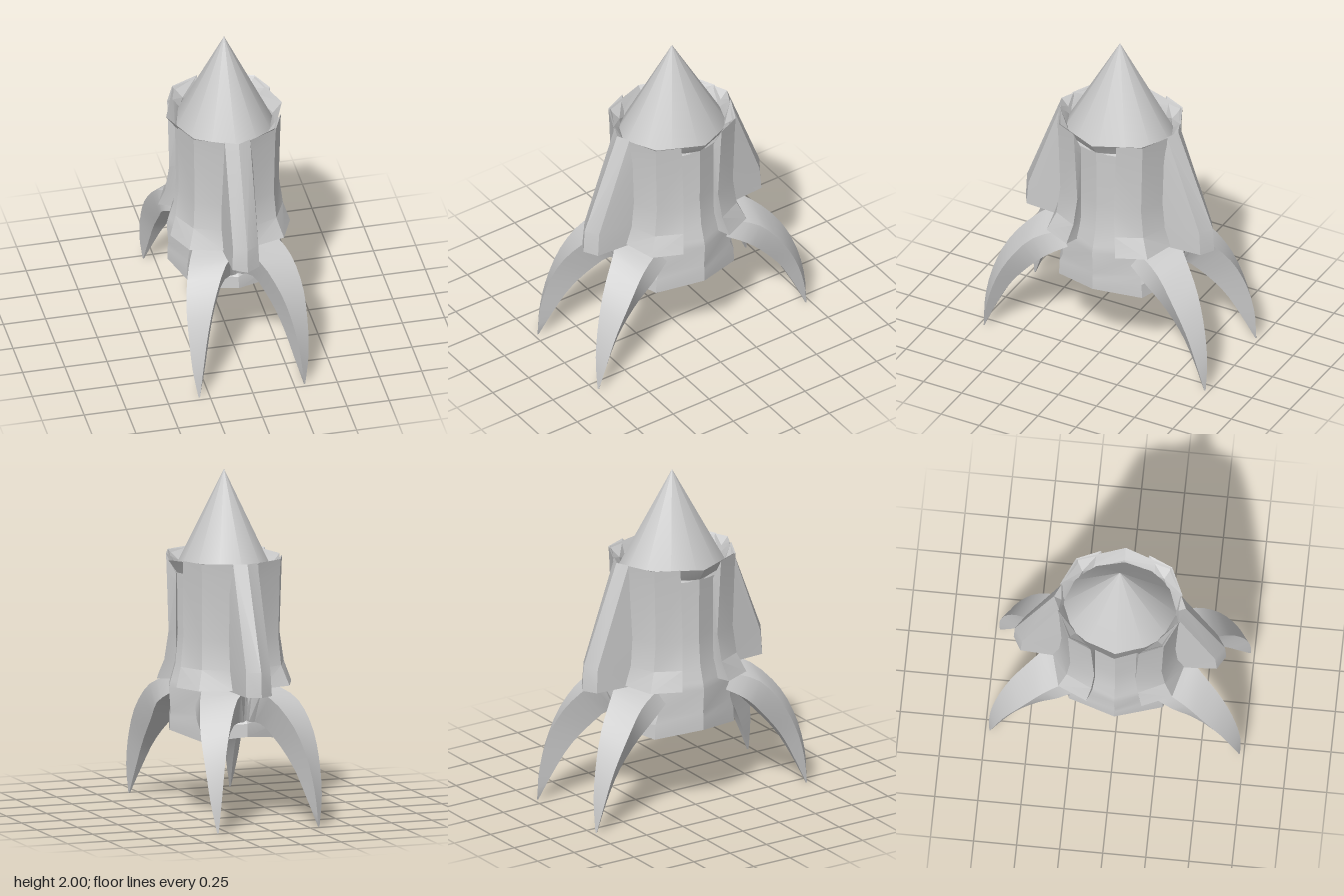
import * as THREE from 'three';
import { toCreasedNormals } from 'three/addons/utils/BufferGeometryUtils.js';

const material = new THREE.MeshStandardMaterial({ color: 0xcccccc });

// Skin a stack of equal-length point rings and cap both ends
function loft(rings, crease, flip = false) {
  const pos = [];
  const tri = (a, b, c) => pos.push(...a, ...(flip ? c : b), ...(flip ? b : c));
  const n = rings[0].length;
  for (let i = 0; i < rings.length - 1; i++) {
    for (let j = 0; j < n; j++) {
      const k = (j + 1) % n;
      const a = rings[i][j], b = rings[i][k], c = rings[i + 1][k], d = rings[i + 1][j];
      tri(a, b, c);
      tri(a, c, d);
    }
  }
  const centre = (r) => [0, 1, 2].map((q) => r.reduce((s, p) => s + p[q], 0) / n);
  const first = rings[0], last = rings[rings.length - 1];
  const c0 = centre(first), c1 = centre(last);
  for (let j = 0; j < n; j++) {
    const k = (j + 1) % n;
    tri(c0, first[k], first[j]);
    tri(c1, last[j], last[k]);
  }
  const g = new THREE.BufferGeometry();
  g.setAttribute('position', new THREE.Float32BufferAttribute(pos, 3));
  return toCreasedNormals(g, crease);
}

// Eight-sided ring; dip shifts the diagonal corners in height
function octagon([y, rx, rz, dip = 0]) {
  return Array.from({ length: 8 }, (_, i) => {
    const a = (i * Math.PI) / 4;
    return [rx * Math.sin(a), y + dip * Math.abs(Math.sin(2 * a)), rz * Math.cos(a)];
  });
}

export function createModel() {
  const group = new THREE.Group();
  const add = (name, geometry) => {
    const mesh = new THREE.Mesh(geometry, material);
    mesh.name = name;
    group.add(mesh);
    return mesh;
  };

  // Body: deep cup underneath, stepped lower rim, waist, funnel-shaped upper rim
  add('body', loft([
    [0.75, 0.24, 0.27], [0.55, 0.26, 0.29, -0.02], [0.53, 0.3, 0.34, -0.03],
    [0.49, 0.335, 0.385, -0.035], [0.565, 0.335, 0.38, -0.02], [0.6, 0.33, 0.35],
    [0.74, 0.34, 0.35], [0.78, 0.33, 0.35], [0.88, 0.3, 0.335],
    [1.05, 0.285, 0.325], [1.41, 0.29, 0.335], [1.485, 0.343, 0.383, 0.015],
    [1.42, 0.29, 0.335], [1.38, 0.28, 0.32],
  ].map(octagon), 0.3));

  // Pointed nose
  const nose = add('noseCone', toCreasedNormals(new THREE.ConeGeometry(1, 0.6, 12), 0.3));
  nose.scale.set(0.285, 1, 0.335);
  nose.position.y = 1.7;

  // Corner armour: outer height, x,z of the three outer edges, inner height
  const panelLevels = [
    [0.765, 0.09, 0.38, 0.28, 0.33, 0.355, 0.16, 0.765],
    [0.88, 0.09, 0.345, 0.245, 0.285, 0.318, 0.135, 0.88],
    [1.05, 0.08, 0.335, 0.235, 0.265, 0.297, 0.12, 1.05],
    [1.4, 0.08, 0.345, 0.24, 0.275, 0.303, 0.135, 1.34],
    [1.5, 0.08, 0.355, 0.244, 0.279, 0.305, 0.14, 1.38],
  ];
  // Claw edges: upper inner, upper outer, lower outer, lower inner
  const clawEdges = [
    [[-0.02, 0.765, 0.37], [0.09, 0.735, 0.47], [0.19, 0.59, 0.605], [0.25, 0.41, 0.685], [0.287, 0.2, 0.727], [0.308, 0, 0.728]],
    [[0.22, 0.765, 0.22], [0.3, 0.7, 0.4], [0.345, 0.55, 0.53], [0.352, 0.36, 0.63], [0.343, 0.17, 0.69], [0.316, 0, 0.724]],
    [[0.24, 0.69, 0.17], [0.29, 0.6, 0.32], [0.285, 0.48, 0.44], [0.29, 0.33, 0.56], [0.3, 0.16, 0.65], [0.314, 0, 0.721]],
    [[-0.02, 0.575, 0.36], [0.075, 0.565, 0.375], [0.155, 0.46, 0.465], [0.215, 0.325, 0.57], [0.265, 0.15, 0.66], [0.308, 0, 0.721]],
  ].map((pts) => new THREE.CatmullRomCurve3(pts.map((p) => new THREE.Vector3(...p))));

  for (const sx of [1, -1]) {
    for (const sz of [1, -1]) {
      const flip = sx * sz < 0;
      const where = (sz > 0 ? 'front' : 'back') + (sx > 0 ? 'Left' : 'Right');
      const place = (x, y, z) => [sx * x, y, sz * z];

      add(where + 'Panel', loft(panelLevels.map(([y, ax, az, cx, cz, ex, ez, inner]) => [
        place(ax, y, az), place(cx, y, cz), place(ex, y, ez),
        place(0.25, inner, 0.12), place(0.2, inner, 0.23), place(0.07, inner, 0.3),
      ]), 0.25, flip));

      const rings = [];
      for (let i = 0; i <= 14; i++) {
        rings.push(clawEdges.map((c) => {
          const p = c.getPoint(i / 14);
          return place(p.x, p.y, p.z);
        }));
      }
      add(where + 'Claw', loft(rings, 0.6, !flip));
    }
  }

  // Sloping ridged fins: height, ridge z, shoulder z, shoulder x, root height
  for (const s of [1, -1]) {
    const rings = [
      [0.755, 0.617, 0.57, 0.08, 0.755], [0.9, 0.61, 0.56, 0.075, 0.9],
      [1.5, 0.383, 0.348, 0.075, 1.38],
    ].map(([y, ridge, side, x, root]) => [
      [0, y, s * ridge], [x, y, s * side], [0.095, root, s * 0.31],
      [-0.095, root, s * 0.31], [-x, y, s * side],
    ]);
    add(s > 0 ? 'frontFin' : 'backFin', loft(rings, 0.3, s < 0));
  }
  return group;
}
